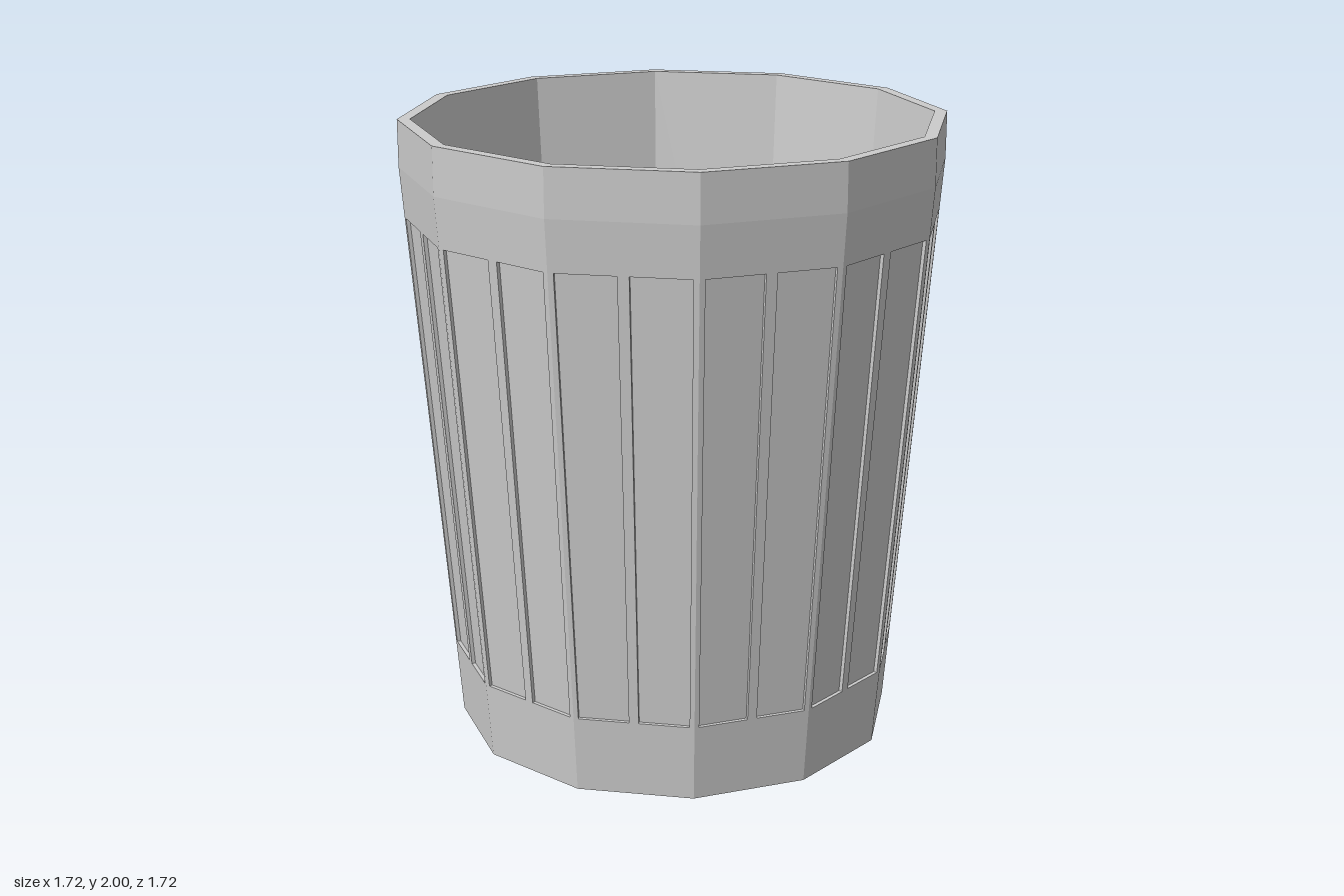
import * as THREE from 'three';

const SIDES = 12;
const LOW = 0.25, HIGH = 1.69;        // height range of the sunken panels
const RIB = 0.04, DEPTH = 0.012;      // half rib width (share of a side), panel depth
const outerRadius = (y) => 0.71 + 0.15 * Math.min(y / 1.85, 1);

const material = new THREE.MeshStandardMaterial({ color: 0xcccccc, flatShading: true });

function addMesh(group, name, geometry) {
  const flat = geometry.index ? geometry.toNonIndexed() : geometry;
  flat.computeVertexNormals();
  const mesh = new THREE.Mesh(flat, material);
  mesh.name = name;
  group.add(mesh);
}

function lathe(profile) {
  return new THREE.LatheGeometry(profile.map(([r, y]) => new THREE.Vector2(r, y)), SIDES);
}

// Point on side k, a share t along its flat face, sunk inwards by depth
function wallPoint(k, t, y, depth = 0) {
  const corner = (i) => {
    const a = (i / SIDES) * Math.PI * 2;
    return new THREE.Vector3(Math.sin(a), 0, Math.cos(a)).multiplyScalar(outerRadius(y));
  };
  const p = corner(k).lerp(corner(k + 1), t);
  const mid = ((k + 0.5) / SIDES) * Math.PI * 2;
  p.x -= Math.sin(mid) * depth;
  p.z -= Math.cos(mid) * depth;
  p.y = y;
  return p;
}

function quads(list) {
  const points = list.flatMap(([a, b, c, d]) => [a, b, c, a, c, d]);
  return new THREE.BufferGeometry().setFromPoints(points);
}

export function createModel() {
  const group = new THREE.Group();
  group.name = 'cup';

  // Closed base with its lower band
  addMesh(group, 'base', lathe([[0, 0], [0.71, 0], [outerRadius(LOW), LOW]]));

  // Upper collar and rim
  addMesh(group, 'collar', lathe([[outerRadius(HIGH), HIGH], [0.86, 1.85], [0.86, 2], [0.82, 2]]));

  // Inner wall and floor
  addMesh(group, 'inside', lathe([[0.82, 2], [0.7, 0.3], [0, 0.3]]));

  // Two sunken panels per side, framed by flush ribs
  const ribs = [], panels = [], ledges = [];
  for (let k = 0; k < SIDES; k++) {
    for (const start of [0, 0.5]) {
      const end = start + 0.5, l = start + RIB, r = end - RIB;
      const strip = (t0, t1, d) => [
        wallPoint(k, t0, LOW, d), wallPoint(k, t1, LOW, d),
        wallPoint(k, t1, HIGH, d), wallPoint(k, t0, HIGH, d),
      ];
      ribs.push(strip(start, l, 0), strip(r, end, 0));
      const outer = strip(l, r, 0), inner = strip(l, r, DEPTH);
      panels.push(inner);
      for (let i = 0; i < 4; i++) {
        const j = (i + 1) % 4;
        ledges.push([outer[i], outer[j], inner[j], inner[i]]);
      }
    }
  }
  addMesh(group, 'ribs', quads(ribs));
  addMesh(group, 'panels', quads(panels));
  addMesh(group, 'panelLedges', quads(ledges));

  return group;
}
